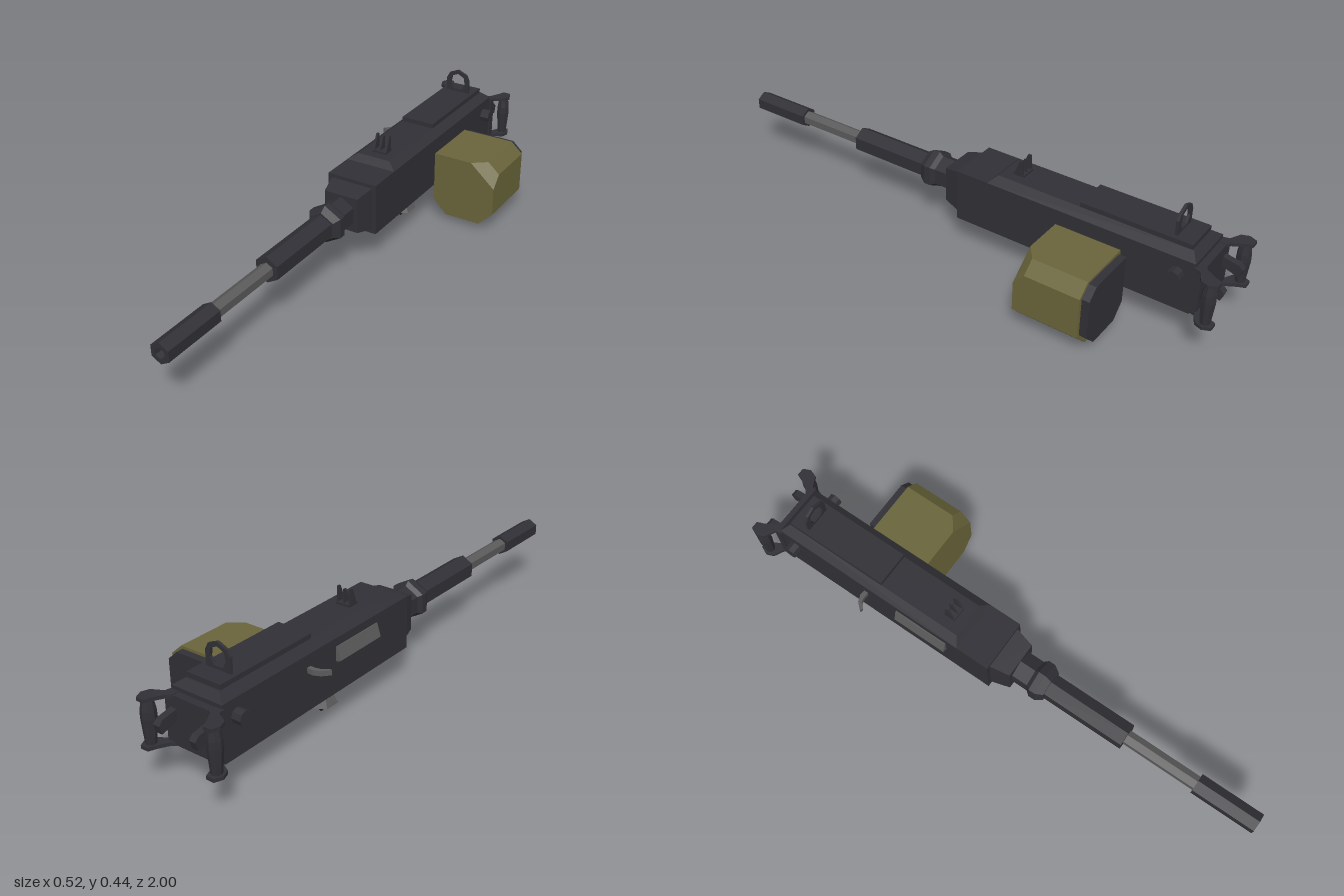
import * as THREE from 'three';
import { ConvexGeometry } from 'three/addons/geometries/ConvexGeometry.js';

const CX = -0.097; // centre line of the body
const BY = 0.219;  // height of the barrel axis

const mat = (color) => new THREE.MeshStandardMaterial({ color, flatShading: true, side: THREE.DoubleSide });

export function createModel() {
  const root = new THREE.Group();
  const dark = mat(0x313036), grey = mat(0x5a5a5a), olive = mat(0x69643a);

  const add = (name, geo, m = dark) => {
    const mesh = new THREE.Mesh(geo, m);
    mesh.name = name;
    root.add(mesh);
    return mesh;
  };
  const box = (name, x0, x1, y0, y1, z0, z1, m) =>
    add(name, new THREE.BoxGeometry(x1 - x0, y1 - y0, z1 - z0)
      .translate((x0 + x1) / 2, (y0 + y1) / 2, (z0 + z1) / 2), m);
  const hull = (name, pts, m) =>
    add(name, new ConvexGeometry(pts.map((p) => new THREE.Vector3(...p))), m);
  const rectY = (hx, z0, z1, y) => [[CX - hx, y, z0], [CX + hx, y, z0], [CX + hx, y, z1], [CX - hx, y, z1]];
  const rectZ = (h, z) => [[CX - h, BY - h, z], [CX + h, BY - h, z], [CX + h, BY + h, z], [CX - h, BY + h, z]];
  const shapeOf = (pts) => new THREE.Shape(pts.map((p) => new THREE.Vector2(...p)));
  const lathe = (pts, n) => new THREE.LatheGeometry(pts.map((p) => new THREE.Vector2(...p)), n);
  // six-sided turned part along the barrel axis; points are [radius, z]
  const turned = (name, pts, m) => add(name, lathe(pts, 6).rotateX(Math.PI / 2).translate(CX, BY, 0), m);
  // flat plate outlined in x and z, with its top at the given height
  const plate = (name, pts, top, thick, m) =>
    add(name, new THREE.ExtrudeGeometry(shapeOf(pts), { depth: thick, bevelEnabled: false })
      .rotateX(Math.PI / 2).translate(0, top, 0), m);

  // Receiver body, bevelled lid and raised rear cover
  box('receiver', -0.194, 0, 0.122, 0.314, -0.905, -0.015);
  hull('receiverLid', [...rectY(0.097, -0.905, -0.14, 0.314), ...rectY(0.065, -0.88, -0.163, 0.337)]);
  box('rearCover', CX - 0.065, CX + 0.065, 0.335, 0.354, -0.875, -0.48);
  hull('frontTaper', [...rectZ(0.082, -0.016), ...rectZ(0.066, 0.055)]);

  // Barrel
  turned('barrelCollar', [[0, 0.05], [0.059, 0.05], [0.059, 0.115], [0.072, 0.13], [0.072, 0.155], [0.055, 0.18], [0, 0.18]]);
  turned('barrelSleeve', [[0.048, 0.17], [0.048, 0.49], [0, 0.49]]);
  turned('barrel', [[0.027, 0.48], [0.027, 0.78]], grey);
  turned('muzzle', [[0, 0.765], [0.038, 0.765], [0.038, 1], [0.02, 1], [0.016, 0.94], [0, 0.94]]);

  // Front sight
  box('frontSightBase', CX - 0.027, CX + 0.027, 0.335, 0.345, -0.242, -0.198);
  for (const [dx, w, h] of [[-0.024, 0.007, 0.398], [0, 0.004, 0.393], [0.024, 0.007, 0.398]]) {
    const pts = [];
    for (const x of [CX + dx - w / 2, CX + dx + w / 2])
      pts.push([x, 0.337, -0.2], [x, 0.337, -0.237], [x, h, -0.235], [x, h, -0.224]);
    hull('frontSightPost', pts);
  }

  // Rear ring sight
  const ring = shapeOf([[-0.048, 0.35], [-0.048, 0.405], [-0.036, 0.428], [0, 0.443],
    [0.036, 0.428], [0.048, 0.405], [0.048, 0.35]]);
  ring.holes.push(new THREE.Path([[-0.018, 0.364], [-0.031, 0.388], [-0.026, 0.416], [0, 0.428],
    [0.026, 0.416], [0.031, 0.388], [0.018, 0.364]].map((p) => new THREE.Vector2(...p))));
  add('rearSight', new THREE.ExtrudeGeometry(ring, { depth: 0.01, bevelEnabled: false }).translate(CX, 0, -0.814));

  // Rear grips, mirrored about the centre line
  for (const s of [-1, 1]) {
    const side = (pts) => pts.map(([x, z]) => [CX + s * x, z]);
    for (const top of [0.302, 0.144])
      plate('gripBracket', side([[0.07, -0.9], [0.1, -0.9], [0.106, -0.925], [0.145, -0.945], [0.155, -0.972],
        [0.143, -1], [0.115, -1], [0.105, -0.975], [0.085, -0.94], [0.07, -0.93]]), top, 0.012);
    add('grip', lathe([[0, 0.135], [0.017, 0.137], [0.02, 0.17], [0.025, 0.23], [0.024, 0.255], [0.017, 0.295], [0, 0.298]], 8)
      .translate(CX + s * 0.129, 0, -0.972));
    const px = CX + s * 0.07;
    const lever = [];
    for (const x of [px - 0.012, px + 0.012])
      lever.push([x, 0.265, -0.9], [x, 0.235, -0.9], [x, 0.25, -0.985], [x, 0.235, -1], [x, 0.205, -0.99]);
    hull('thumbLever', lever);
  }
  box('backPlate', -0.2, 0.006, 0.135, 0.3, -0.93, -0.904);
  add('crossPin', new THREE.CylinderGeometry(0.025, 0.025, 0.262, 8).rotateZ(Math.PI / 2).translate(CX, 0.258, -0.848));

  // Side port cover and curved charging handle
  const port = [];
  for (const z of [-0.4, -0.19])
    port.push([-0.19, 0.285, z], [-0.198, 0.285, z], [-0.212, 0.24, z], [-0.19, 0.23, z]);
  hull('portCover', port, grey);
  plate('chargingHandle', [[-0.19, -0.54], [-0.215, -0.542], [-0.24, -0.532], [-0.262, -0.507],
    [-0.252, -0.505], [-0.235, -0.52], [-0.215, -0.525], [-0.19, -0.525]], 0.272, 0.018, grey);

  // Mount under the body
  hull('mountBase', [...rectY(0.066, -0.44, -0.28, 0.125), ...rectY(0.066, -0.44, -0.28, 0.103), ...rectY(0.05, -0.42, -0.3, 0.085)]);
  add('mountSkirt', new THREE.CylinderGeometry(0.032, 0.056, 0.05, 6).translate(CX, 0.063, -0.36), grey);
  add('mountTip', new THREE.ConeGeometry(0.034, 0.038, 6).rotateX(Math.PI).translate(CX, 0.019, -0.36));

  // Ammunition box with cut corners, rear lid and bracket
  const section = (a, b, z) => [[0.014, 0.27, z], [0.014, 0.079, z], [0.068, 0.025, z], [0.206, 0.025, z],
    [0.26, 0.079, z], [0.26, b, z], [a, 0.27, z]];
  hull('ammoBox', [...section(0.163, 0.185, -0.42), ...section(0.215, 0.23, -0.46), ...section(0.215, 0.23, -0.66)], olive);
  const lid = [];
  for (const z of [-0.655, -0.687])
    lid.push([0.024, 0.26, z], [0.024, 0.084, z], [0.072, 0.036, z], [0.2, 0.036, z],
      [0.248, 0.084, z], [0.248, 0.225, z], [0.21, 0.26, z]);
  hull('ammoBoxLid', lid);
  const bracket = [];
  for (const z of [-0.63, -0.455])
    bracket.push([-0.005, 0.255, z], [0.018, 0.255, z], [0.018, 0.11, z], [-0.005, 0.125, z]);
  hull('ammoBoxBracket', bracket);

  return root;
}
